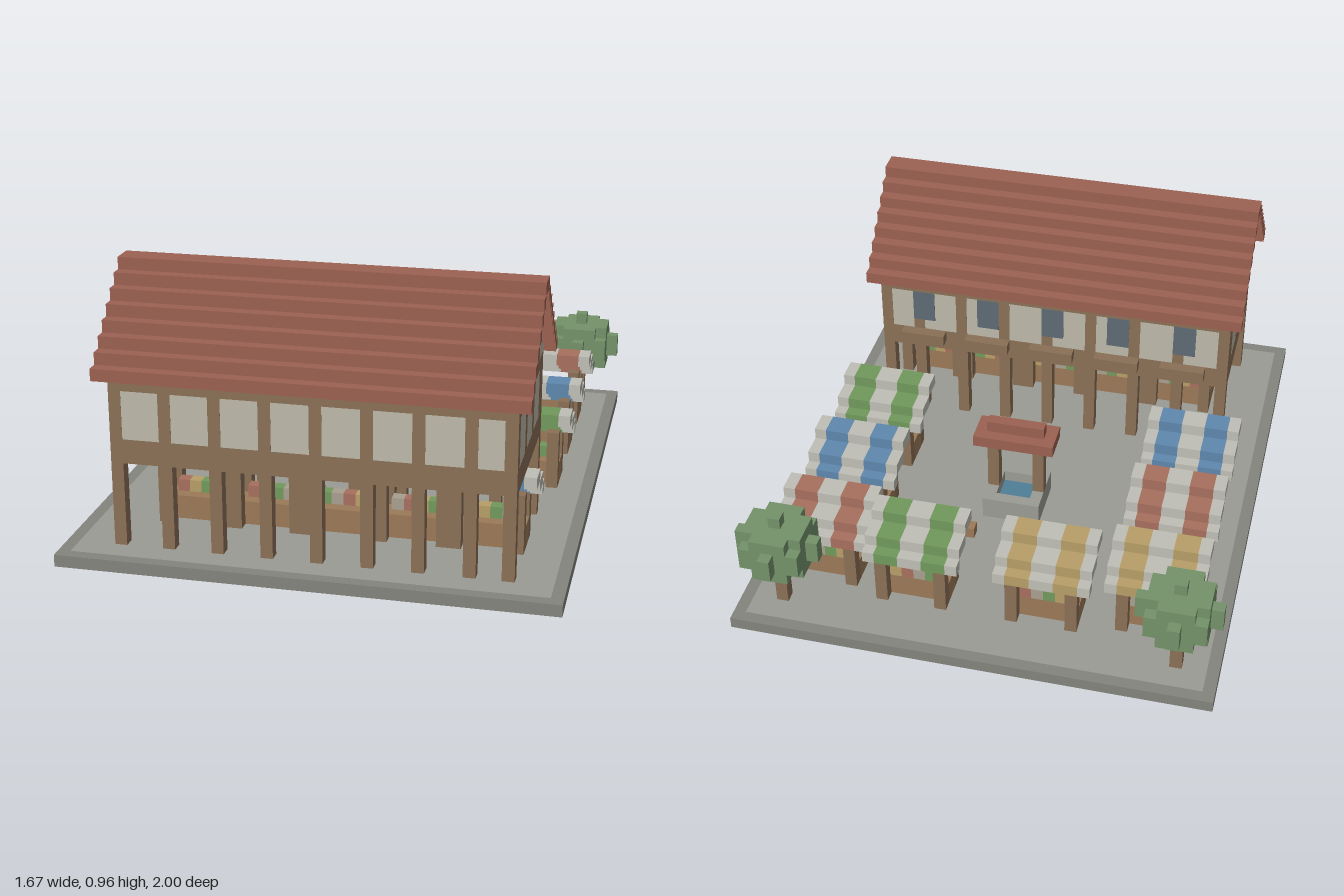
import * as THREE from 'three';

// One block is 1/24 unit; all positions below are counted in blocks.
const U = 1 / 24;
const C = {
  stone: 0x9c9c95, edge: 0x85857f, wood: 0x8a7057, plank: 0x9c7a58, plaster: 0xbdb9a9,
  roof: 0x9c6152, glass: 0x5d6a75, leaf: 0x74936a, white: 0xc0c0b8, water: 0x4f7f99,
  red: 0xa8705f, yellow: 0xb89f68, blue: 0x5f88ae, green: 0x729a5c, soil: 0xa8a090,
};
const mats = {};
const mat = (c) => (mats[c] ??= new THREE.MeshStandardMaterial({
  color: C[c], side: THREE.DoubleSide, flatShading: true }));

// Block from corner to corner; skip lists faces left out (2 top, 3 bottom)
function block(parent, name, color, x0, x1, y0, y1, z0, z1, skip = []) {
  const geo = new THREE.BoxGeometry((x1 - x0) * U, (y1 - y0) * U, (z1 - z0) * U);
  if (skip.length) {
    geo.setIndex(Array.from(geo.index.array).filter((_, i) => !skip.includes(Math.floor(i / 6))));
    geo.clearGroups();
  }
  const mesh = new THREE.Mesh(geo, mat(color));
  mesh.position.set((x0 + x1) / 2 * U, (y0 + y1) / 2 * U, (z0 + z1) / 2 * U);
  mesh.name = name;
  parent.add(mesh);
  return mesh;
}

function group(parent, name) {
  const g = new THREE.Group();
  g.name = name;
  parent.add(g);
  return g;
}

export function createModel() {
  const model = group(new THREE.Group(), 'marketSquare');
  model.removeFromParent();

  // Things standing on the paving are open below and leave a hole in it
  const taken = new Set();
  const occupy = (x0, x1, z0, z1) => {
    for (let x = x0; x < x1; x++) for (let z = z0; z < z1; z++) taken.add(x + ',' + z);
  };
  const standing = (parent, name, color, x0, x1, y1, z0, z1) => {
    occupy(x0, x1, z0, z1);
    block(parent, name, color, x0, x1, 1, y1, z0, z1, [3]);
  };

  // Market stall: posts, counter, goods and a stepped striped awning
  const goods = ['red', 'yellow', 'green', 'soil'];
  function stall(x, z, color, n, width = 8) {
    const s = group(model, 'stall');
    for (const px of [x + 1, x + 6]) {
      standing(s, 'rearPost', 'wood', px, px + 1, 6, z + 3, z + 4);
      standing(s, 'frontPost', 'wood', px, px + 1, 5, z, z + 1);
    }
    standing(s, 'counter', 'plank', x + 1, x + 7, 3, z + 1, z + 3);
    for (let i = 0; i < 4; i++) {
      block(s, 'goods', goods[(i + n) % 4], x + 2 + i, x + 3 + i, 3, 4, z + 1, z + 2);
    }
    const stripes = [0, 1, 3, 5, 7, 8];
    const steps = [[5, 0, 1], [6, 1, 3], [7, 3, 5]];
    for (const [y, a, b] of steps) {
      for (let i = 0; i < 5; i++) {
        const x0 = stripes[i], x1 = Math.min(stripes[i + 1], width);
        if (x1 > x0) {
          block(s, 'awning', i % 2 ? color : 'white', x + x0, x + x1, y, y + 1, z + a, z + b);
        }
      }
    }
  }
  [[-18, ['yellow', 'red', 'blue']], [10, ['red', 'blue', 'green']]].forEach(([x, colors], side) =>
    colors.forEach((c, i) => stall(x, -18 + 8 * i, c, i + side)));
  stall(-9, -19, 'yellow', 1);
  stall(2, -19, 'green', 2);
  // Arcade row, where each awning runs into the next
  ['blue', 'red', 'yellow', 'green', 'blue'].forEach((c, i) =>
    stall(-15 + 6 * i, 12, c, i === 1 ? 0 : i, i < 4 ? 6 : 8));

  // Timber-framed hall on pillars
  const hall = group(model, 'hall');
  const columns = [-16, -12, -8, -4, 0, 4, 8, 12, 15];
  for (const x of columns) {
    for (const z of [7, 20]) standing(hall, 'pillar', 'wood', x, x + 1, 8, z, z + 1);
  }
  block(hall, 'floorBeam', 'wood', -16, 16, 8, 10, 7, 21);
  block(hall, 'topBeam', 'wood', -16, 16, 14, 15, 7, 21);
  block(hall, 'plasterWalls', 'plaster', -15.98, 15.98, 10, 14, 7.02, 20.98);
  for (const x of columns) {
    block(hall, 'frontStud', 'wood', x, x + 1, 10, 14, 20, 21);
    block(hall, 'backStud', 'wood', x, x + 1, 10, 14, 7, 8);
  }
  for (const [a, b] of [[7, 9], [12, 13], [16, 17], [20, 21]]) {
    for (const x of [-16, 15]) block(hall, 'sideStud', 'wood', x, x + 1, 10, 14, a, b);
  }
  for (let x = -12; x <= 12; x += 6) {
    block(hall, 'window', 'glass', x - 1, x + 1, 11, 14, 6.97, 7.5);
    block(hall, 'windowLedge', 'wood', x - 2, x + 2, 9, 10, 6, 7);
  }

  // Stepped gable and roof
  for (let i = 0; i < 8; i++) {
    const y = 15 + i;
    if (i < 7) block(hall, 'gable', 'plaster', -16, 16, y, y + 1, 7 + i, 21 - i);
    block(hall, 'roofFront', 'roof', -17, 17, y, y + 1, 21 - i, 22 - i);
    block(hall, 'roofBack', 'roof', -17, 17, y, y + 1, 6 + i, 7 + i);
  }

  // Roofed well
  const well = group(model, 'well');
  occupy(-2, 3, -7, -2);
  block(well, 'wellWall', 'stone', -2, 3, 1, 3, -7, -6, [3]);
  block(well, 'wellWall', 'stone', -2, 3, 1, 3, -3, -2, [3]);
  block(well, 'wellWall', 'stone', -2, -1, 1, 3, -6, -3, [3]);
  block(well, 'wellWall', 'stone', 2, 3, 1, 3, -6, -3, [3]);
  block(well, 'water', 'water', -1, 2, 1.9, 2, -6, -3);
  for (const x of [-2, 2]) block(well, 'wellPost', 'wood', x, x + 1, 3, 8, -5, -4);
  block(well, 'wellRoof', 'roof', -3, 4, 8, 9, -6, -3);
  block(well, 'wellRidge', 'roof', -2, 3, 9, 10, -5, -4);

  // Benches
  for (const x of [-6, 3]) standing(model, 'bench', 'plank', x, x + 4, 2, -10, -9);

  // Trees: crown of crossing blocks, given as half width, height range, half depth
  const crown = [[2.5, 6, 8, 2.5], [2.5, 5, 9, 1.5], [1.5, 5, 9, 2.5],
    [3.5, 6, 8, 0.5], [0.5, 6, 8, 3.5], [0.5, 4, 10, 0.5]];
  for (const x of [-17, 16]) {
    const tree = group(model, 'tree');
    standing(tree, 'trunk', 'wood', x, x + 1, 4, -21, -20);
    for (const [w, y0, y1, d] of crown) {
      block(tree, 'crown', 'leaf', x + 0.5 - w, x + 0.5 + w, y0, y1, -20.5 - d, -20.5 + d);
    }
  }

  // Paving: a thin surface with a darker border, and the slab sides
  const isEdge = (x, z) => x === -20 || x === 19 || z === -24 || z === 23;
  for (const border of [false, true]) {
    const pos = [];
    for (let x = -20; x < 20; x++) {
      for (let z = -24; z < 24; z++) {
        if (isEdge(x, z) !== border || taken.has(x + ',' + z)) continue;
        for (const [a, b] of [[0, 0], [0, 1], [1, 1], [0, 0], [1, 1], [1, 0]]) {
          pos.push((x + a) * U, U, (z + b) * U);
        }
      }
    }
    const geo = new THREE.BufferGeometry();
    geo.setAttribute('position', new THREE.Float32BufferAttribute(pos, 3));
    geo.computeVertexNormals();
    const paving = new THREE.Mesh(geo, mat(border ? 'edge' : 'stone'));
    paving.name = border ? 'pavingBorder' : 'paving';
    model.add(paving);
  }
  block(model, 'slabSides', 'edge', -20, 20, 0, 1, -24, 24, [2, 3]);

  return model;
}
